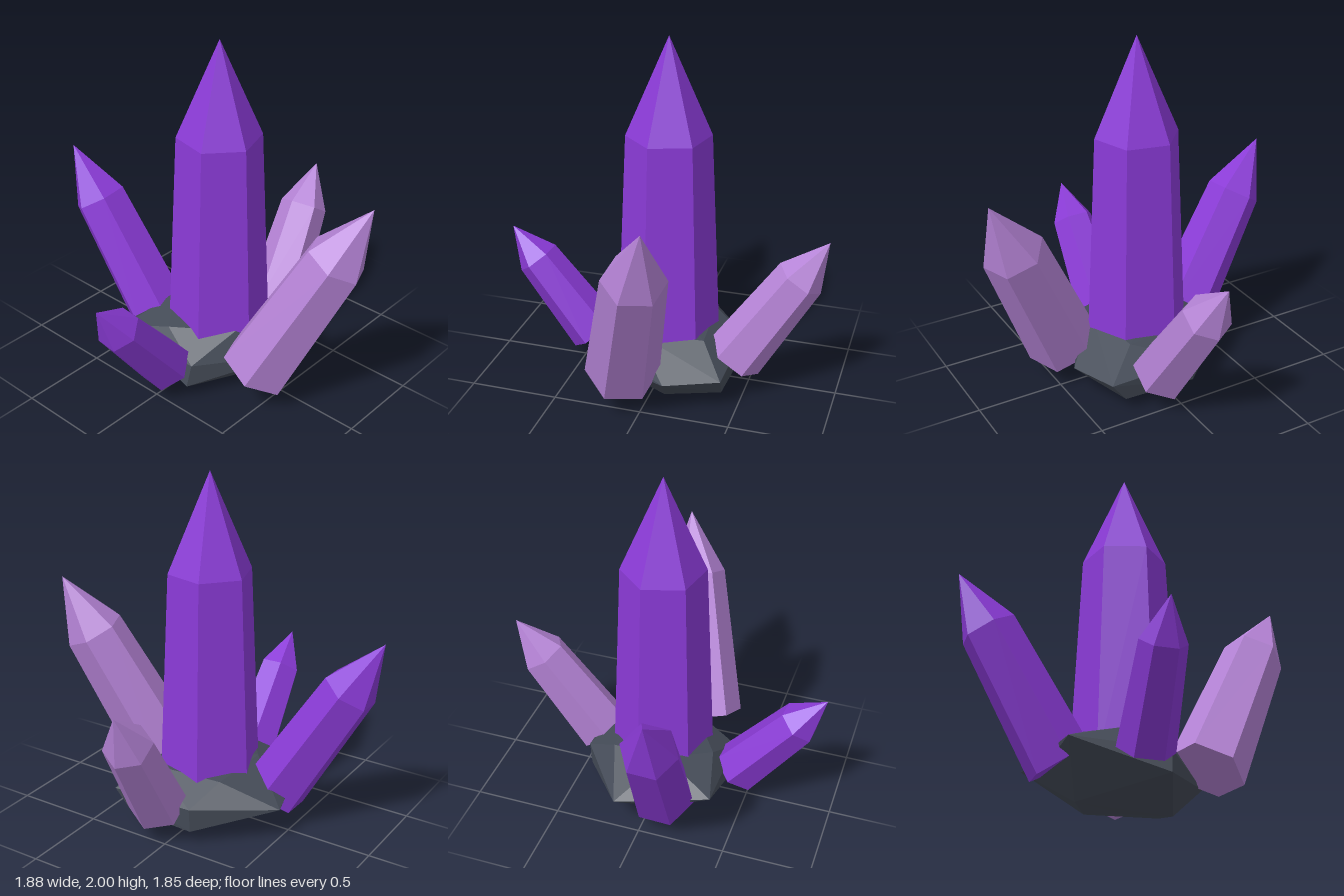
import * as THREE from 'three';
import { mergeGeometries } from 'three/addons/utils/BufferGeometryUtils.js';
import { ConvexGeometry } from 'three/addons/geometries/ConvexGeometry.js';

const V = (a) => new THREE.Vector3(...a);

// Six-sided tapered shaft with a pointed cap, running from base to tip.
// corner is the direction one of the six edges faces.
function crystal(name, material, base, tip, baseRadius, shoulderRadius, corner) {
  const axis = V(tip).sub(V(base));
  const length = axis.length();
  const shaft = length * 0.7;
  const cap = length - shaft;
  axis.normalize();

  const body = new THREE.CylinderGeometry(shoulderRadius, baseRadius, shaft, 6, 1, true).translate(0, shaft / 2, 0);
  const point = new THREE.ConeGeometry(shoulderRadius, cap, 6, 1, true).translate(0, shaft + cap / 2, 0);
  const foot = new THREE.CircleGeometry(baseRadius, 6, Math.PI / 2).rotateX(Math.PI / 2);
  const geometry = mergeGeometries([body, point, foot].map((g) => g.toNonIndexed()));
  geometry.computeVertexNormals();

  const z = V(corner).addScaledVector(axis, -V(corner).dot(axis)).normalize();
  const x = new THREE.Vector3().crossVectors(axis, z);
  geometry.applyMatrix4(new THREE.Matrix4().makeBasis(x, axis, z).setPosition(...base));

  const mesh = new THREE.Mesh(geometry, material);
  mesh.name = name;
  return mesh;
}

export function createModel() {
  const group = new THREE.Group();
  group.name = 'crystalCluster';

  const purple = new THREE.MeshStandardMaterial({ color: 0x8a3ad6 });
  purple.name = 'purple crystal';
  const lilac = new THREE.MeshStandardMaterial({ color: 0xb583d6 });
  lilac.name = 'lilac crystal';
  const stone = new THREE.MeshStandardMaterial({ color: 0x444b57 });
  stone.name = 'grey stone';

  // Faceted rock
  const rockPoints = [
    // underside
    [-0.27, 0, 0.06], [0.29, 0, -0.08], [0.02, 0, -0.1],
    // rim
    [0.15, 0.08, 0.41], [0.47, 0.17, -0.12], [0.39, 0.2, -0.425], [0.3, 0.08, -0.41],
    [-0.12, 0.22, -0.44], [-0.12, 0.08, -0.43], [-0.52, 0.2, -0.14],
    [-0.41, 0.19, 0.2], [-0.37, 0.24, 0.38], [0.16, 0.21, 0.38],
    // top
    [-0.25, 0.37, 0.08], [0.24, 0.34, 0.1], [0.2, 0.33, -0.28], [-0.2, 0.33, -0.25], [-0.08, 0.33, 0.31],
  ];
  const rock = new THREE.Mesh(new ConvexGeometry(rockPoints.map(V)), stone);
  rock.name = 'rock';
  group.add(rock);

  // Crystals
  group.add(
    crystal('mainCrystal', purple, [0.01, 0.17, -0.02], [0.01, 2, -0.02], 0.295, 0.236, [0.28, 0, 0.06]),
    crystal('rightCrystal', purple, [-0.355, 0.18, 0.095], [-0.94, 1.155, 0.195], 0.185, 0.157, [0, 0, 1]),
    crystal('leftCrystal', lilac, [0.42, 0.2, 0.125], [0.935, 1.29, -0.155], 0.208, 0.172, [0.08, 0.014, 0.195]),
    crystal('frontCrystal', purple, [0.01, 0.175, 0.43], [0.01, 0.79, 0.925], 0.152, 0.124, [0.15, -0.02, 0]),
    crystal('backCrystal', lilac, [0.088, 0.195, -0.43], [0, 0.93, -0.92], 0.168, 0.138, [0, 0.5, 0.8]),
  );
  return group;
}
